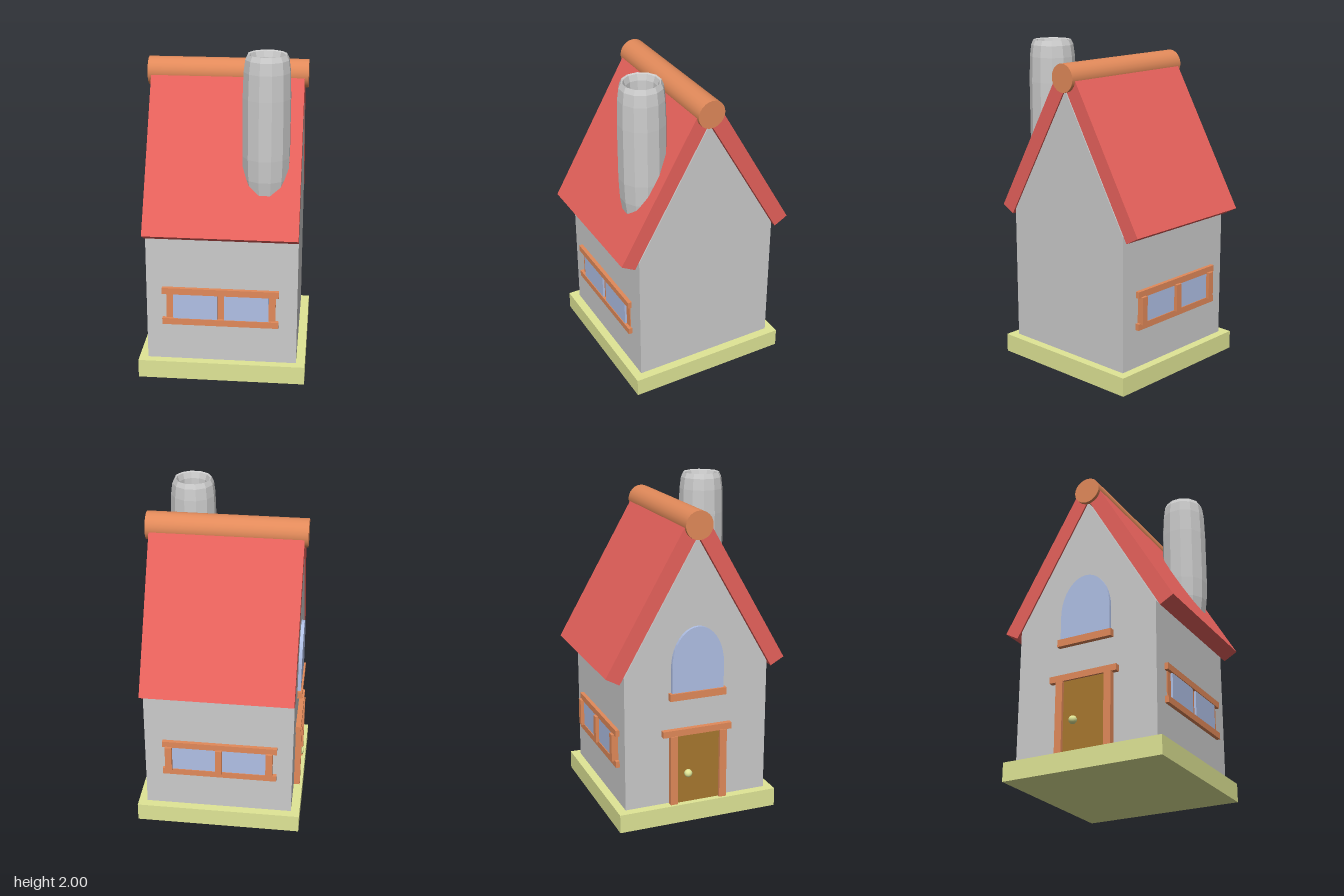
import * as THREE from 'three';

const mat = (color, extra = {}) => new THREE.MeshStandardMaterial({ color, ...extra });
const stone = mat(0xcccccc, { flatShading: true });
const roofRed = mat(0xe8625c);
const wood = mat(0xe28a5a);
const glass = mat(0xb0c0e6);
const lime = mat(0xe0e696);
const doorBrown = mat(0xa8782f);

export function createModel() {
  const house = new THREE.Group();
  house.name = 'house';

  const add = (name, geometry, material, parent = house) => {
    const mesh = new THREE.Mesh(geometry, material);
    mesh.name = name;
    parent.add(mesh);
    return mesh;
  };
  // Box given by its min and max on each axis
  const box = (name, [x0, x1], [y0, y1], [z0, z1], material, parent) => {
    const mesh = add(name, new THREE.BoxGeometry(x1 - x0, y1 - y0, z1 - z0), material, parent);
    mesh.position.set((x0 + x1) / 2, (y0 + y1) / 2, (z0 + z1) / 2);
    return mesh;
  };
  // Outline in the z-y plane, extruded along x from x0 to x1
  const extrudeX = (name, shape, x0, x1, material, parent) => {
    const geometry = new THREE.ExtrudeGeometry(shape, { depth: x1 - x0, bevelEnabled: false, curveSegments: 10 });
    geometry.rotateY(-Math.PI / 2);
    geometry.translate(x1, 0, 0);
    return add(name, geometry, material, parent);
  };
  const polygon = (points) => new THREE.Shape(points.map(([z, y]) => new THREE.Vector2(z, y)));

  // Base slab and gabled body
  box('base', [-0.51, 0.51], [0, 0.115], [-0.51, 0.51], lime);
  extrudeX('walls', polygon([[-0.457, 0.1], [0.457, 0.1], [0.457, 0.95], [0, 1.742], [-0.457, 0.95]]),
    -0.456, 0.456, stone);

  // Roof slabs at 60 degrees, mirrored front to back
  for (const s of [1, -1]) {
    const outline = polygon([[0.485 * s, 0.915], [0.57 * s, 0.962], [0.05 * s, 1.863], [0, 1.85], [0, 1.755]]);
    extrudeX(s > 0 ? 'frontRoof' : 'backRoof', outline, -0.459, 0.457, roofRed);
  }

  // Ridge log
  const ridge = add('ridge', new THREE.CylinderGeometry(0.085, 0.085, 0.96, 24), wood);
  ridge.rotation.z = Math.PI / 2;
  ridge.position.y = 1.816;

  // Hollow bulging chimney, open down to the roof
  const profile = [
    [0.088, 1.15], [0.086, 1.4], [0.086, 1.85], [0.092, 1.96], [0.104, 1.995], [0.114, 2],
    [0.128, 1.97], [0.137, 1.9], [0.142, 1.75], [0.142, 1.4], [0.136, 1.27], [0.122, 1.18], [0.088, 1.15],
  ].reverse().map(([r, y]) => new THREE.Vector2(r, y));
  const chimney = add('chimney', new THREE.LatheGeometry(profile, 12, Math.PI / 12),
    mat(0xcccccc, { flatShading: true, side: THREE.DoubleSide }));
  chimney.position.set(0.25, 0, 0.32);

  // Long windows: rails, posts and panes run through the house to show front and back
  const windows = new THREE.Group();
  windows.name = 'longWindows';
  house.add(windows);
  for (const y of [0.355, 0.555]) {
    box('windowRail', [-0.36, 0.345], [y, y + 0.04], [-0.481, 0.481], wood, windows);
  }
  for (const x of [-0.335, -0.025, 0.285]) {
    box('windowPost', [x, x + 0.042], [0.39, 0.56], [-0.498, 0.463], wood, windows);
  }
  for (const x of [-0.293, 0.017]) {
    box('windowPane', [x, x + 0.268], [0.39, 0.56], [-0.476, 0.476], glass, windows);
  }

  // Door on the right side, with frame and knob
  const door = new THREE.Group();
  door.name = 'door';
  house.add(door);
  box('doorPanel', [-0.475, -0.44], [0.11, 0.557], [-0.145, 0.145], doorBrown, door);
  for (const z of [-0.179, 0.139]) {
    box('doorPost', [-0.494, -0.44], [0.11, 0.557], [z, z + 0.045], wood, door);
  }
  box('doorLintel', [-0.488, -0.44], [0.555, 0.595], [-0.225, 0.217], wood, door);
  const knob = add('doorKnob', new THREE.SphereGeometry(0.025, 16, 12), lime, door);
  knob.position.set(-0.485, 0.305, -0.064);

  // Arched attic window over its sill
  const arch = new THREE.Shape();
  arch.moveTo(-0.165, 0.8);
  arch.lineTo(0.165, 0.8);
  arch.lineTo(0.165, 0.98);
  arch.absellipse(0, 0.98, 0.165, 0.24, 0, Math.PI, false);
  extrudeX('atticWindow', arch, -0.476, -0.44, glass);
  box('atticSill', [-0.487, -0.44], [0.78, 0.825], [-0.18, 0.18], wood);

  return house;
}
